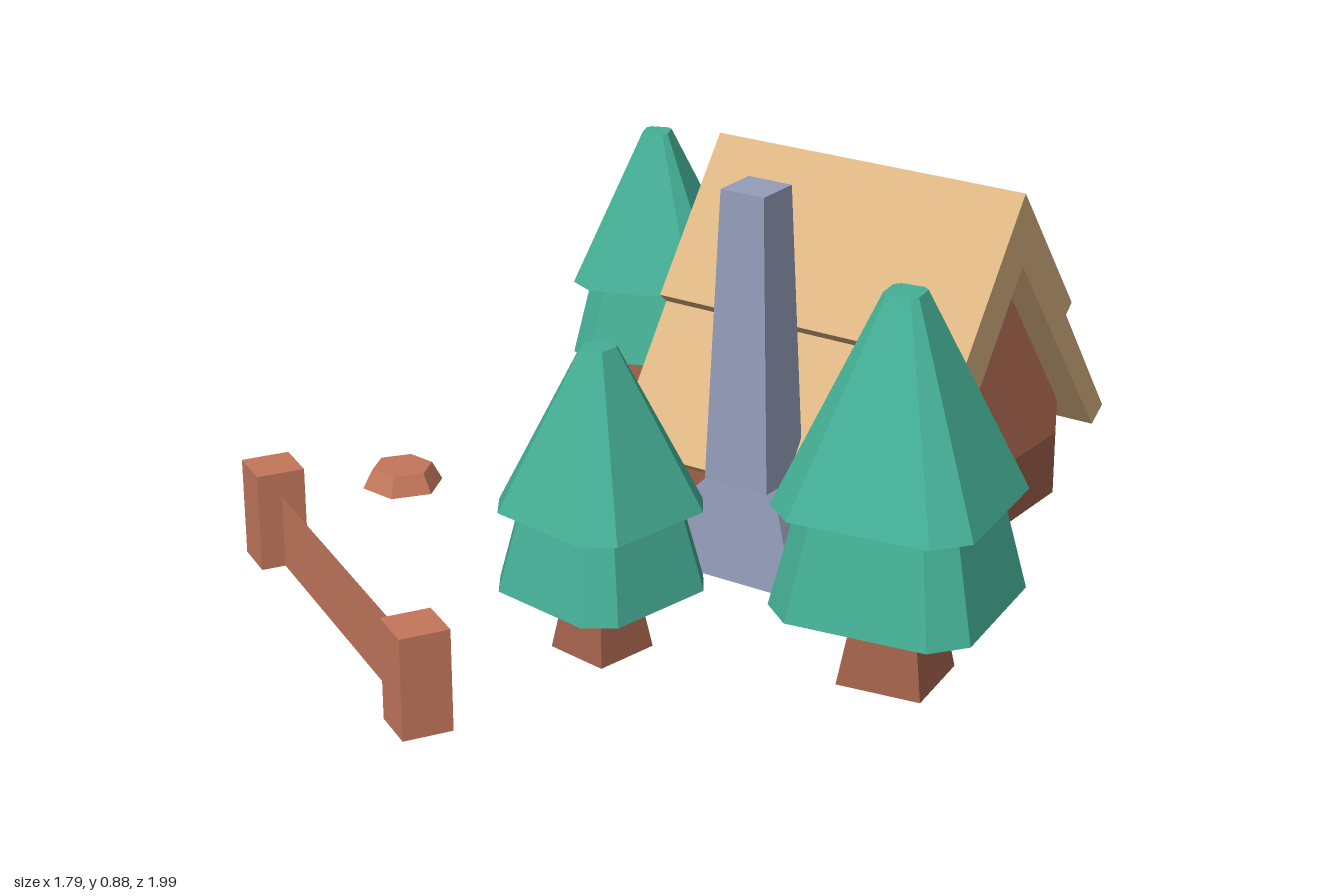
import * as THREE from 'three';

export function createModel() {
  const mat = (name, color) => {
    const m = new THREE.MeshStandardMaterial({ color, side: THREE.DoubleSide });
    m.name = name;
    return m;
  };
  const green = mat('pine green', 0x45b096);
  const tan = mat('roof tan', 0xddb683);
  const clay = mat('clay brown', 0xc4775b);
  const brown = mat('dark wood brown', 0xa0604a);
  const stone = mat('stone blue grey', 0x959dbb);

  const root = new THREE.Group();
  root.name = 'cabinInTheWoods';
  const rad = THREE.MathUtils.degToRad;

  const add = (parent, name, geo, material, x = 0, y = 0, z = 0, ry = 0) => {
    const mesh = new THREE.Mesh(geo, material);
    mesh.name = name;
    mesh.position.set(x, y, z);
    mesh.rotation.y = ry;
    parent.add(mesh);
    return mesh;
  };

  // Faceted solid through horizontal rings: each section is [y, [[x, z], ...]]
  function loft(sections, capTop = true, capBottom = true) {
    const pos = [];
    const rings = sections.map(([y, pts]) => pts.map(([x, z]) => [x, y, z]));
    const n = rings[0].length;
    const tri = (a, b, c) => pos.push(...a, ...b, ...c);
    for (let s = 0; s < rings.length - 1; s++) {
      const lo = rings[s], hi = rings[s + 1];
      for (let i = 0; i < n; i++) {
        const j = (i + 1) % n;
        tri(lo[i], lo[j], hi[j]);
        tri(lo[i], hi[j], hi[i]);
      }
    }
    const first = rings[0], last = rings[rings.length - 1];
    for (let i = 1; i < n - 1; i++) {
      if (capTop) tri(last[0], last[i], last[i + 1]);
      if (capBottom) tri(first[0], first[i + 1], first[i]);
    }
    const g = new THREE.BufferGeometry();
    g.setAttribute('position', new THREE.Float32BufferAttribute(pos, 3));
    g.computeVertexNormals();
    return g;
  }
  const rect = (a, c) => [[-a, c], [a, c], [a, -c], [-a, -c]];
  const chamfered = (h, b) => [[-b, h], [b, h], [h, b], [h, -b], [b, -h], [-b, -h], [-h, -b], [-h, b]];
  const hex = (r) => Array.from({ length: 6 }, (_, i) => [r * Math.sin(i * Math.PI / 3), r * Math.cos(i * Math.PI / 3)]);
  const polygon = (pts) => new THREE.Shape(pts.map(([x, y]) => new THREE.Vector2(x, y)));

  // Pine trees: tapered trunk and two canopy tiers
  function tree(name, x, z, height, turn) {
    const t = new THREE.Group();
    t.name = name;
    const k = height;
    add(t, 'trunk', loft([[0, rect(0.111 * k, 0.111 * k)], [0.23 * k, rect(0.075 * k, 0.075 * k)]], false, false), brown);
    add(t, 'lowerCanopy', loft([
      [0.215 * k, chamfered(0.262 * k, 0.183 * k)],
      [0.48 * k, chamfered(0.205 * k, 0.143 * k)],
    ]), green);
    add(t, 'upperCanopy', loft([
      [0.478 * k, chamfered(0.26 * k, 0.182 * k)],
      [k, chamfered(0.045 * k, 0.03 * k)],
    ]), green);
    t.position.set(x, 0, z);
    t.rotation.y = rad(turn);
    root.add(t);
  }
  tree('backTree', -0.626, -0.785, 0.693, 21);
  tree('rightTree', 0.657, 0.202, 0.835, 8);
  tree('frontTree', 0.085, 0.434, 0.67, -10);

  // House
  const house = new THREE.Group();
  house.name = 'house';
  house.position.set(0.155, 0, -0.482);
  root.add(house);
  const half = 0.325, eave = 0.232, peak = 0.665, band = 0.15;

  // Roof: stepped chevron profile extruded along the ridge
  const side = [[0, 0.83], [0.24, 0.51], [0.215, 0.488], [0.42, 0.204], [0.372, 0.172]];
  const mirrored = side.slice(1).reverse().map(([u, y]) => [-u, y]);
  const roof = new THREE.ExtrudeGeometry(polygon([...side, [0, peak], ...mirrored]), { depth: 0.787, bevelEnabled: false });
  roof.translate(0, 0, -0.3935);
  add(house, 'roof', roof, tan, 0, 0, 0, Math.PI / 2);

  // Long walls
  for (const s of [1, -1]) {
    const wall = new THREE.PlaneGeometry(2 * half, eave);
    add(house, s > 0 ? 'frontWall' : 'backWall', wall, brown, 0, eave / 2, s * half, s > 0 ? 0 : Math.PI);
  }

  // Gable ends; the left-hand one in the front view holds an arched door
  const dw = 0.125, spring = 0.18;
  for (const s of [1, -1]) {
    const end = new THREE.Group();
    end.name = s > 0 ? 'plainGableEnd' : 'doorGableEnd';
    end.position.x = s * half;
    end.rotation.y = s * Math.PI / 2;
    house.add(end);
    const gable = new THREE.Shape();
    gable.moveTo(-half, band);
    if (s < 0) {
      gable.lineTo(-dw, band);
      gable.lineTo(-dw, spring);
      gable.absarc(0, spring, dw, Math.PI, 0, true);
      gable.lineTo(dw, band);
      const door = new THREE.Shape();
      door.moveTo(-dw, 0);
      door.lineTo(dw, 0);
      door.lineTo(dw, spring);
      door.absarc(0, spring, dw, 0, Math.PI, false);
      add(end, 'door', new THREE.ShapeGeometry(door, 8), brown);
    }
    gable.lineTo(half, band);
    gable.lineTo(half, eave);
    gable.lineTo(0, peak);
    gable.lineTo(-half, eave);
    add(end, 'gable', new THREE.ShapeGeometry(gable, 8), clay);
    // Dark base band, broken by the door
    const spans = s > 0 ? [[-half, half]] : [[-half, -dw], [dw, half]];
    for (const [a, b] of spans) {
      add(end, 'baseBand', new THREE.PlaneGeometry(b - a, band), brown, (a + b) / 2, band / 2, 0);
    }
  }

  // Chimney: flared base, sloping shoulders, tapered stack
  add(root, 'chimney', loft([
    [0, rect(0.16, 0.086)],
    [0.19, rect(0.11, 0.074)],
    [0.22, rect(0.08, 0.072)],
    [0.88, rect(0.054, 0.054)],
  ]), stone, 0.133, 0, -0.065);

  // Low hexagonal stumps, open underneath
  for (const [name, x, z, r, h] of [['largeStump', -0.47, -0.33, 0.155, 0.07], ['smallStump', -0.8, 0.01, 0.095, 0.045]]) {
    add(root, name, loft([[0, hex(r)], [h, hex(r * 0.75)]], true, false), clay, x, 0, z, rad(23));
  }

  // Fence: two posts joined by a thin panel
  const fence = new THREE.Group();
  fence.name = 'fence';
  fence.position.set(-0.39, 0, 0.702);
  fence.rotation.y = rad(-30);
  root.add(fence);
  const span = 0.876, post = 0.107;
  for (const s of [-1, 1]) {
    add(fence, 'fencePost', new THREE.BoxGeometry(post, 0.222, post), clay, s * span / 2, 0.111, 0);
  }
  add(fence, 'fencePanel', new THREE.PlaneGeometry(span - post, 0.166), clay, 0, 0.083, 0);

  return root;
}
